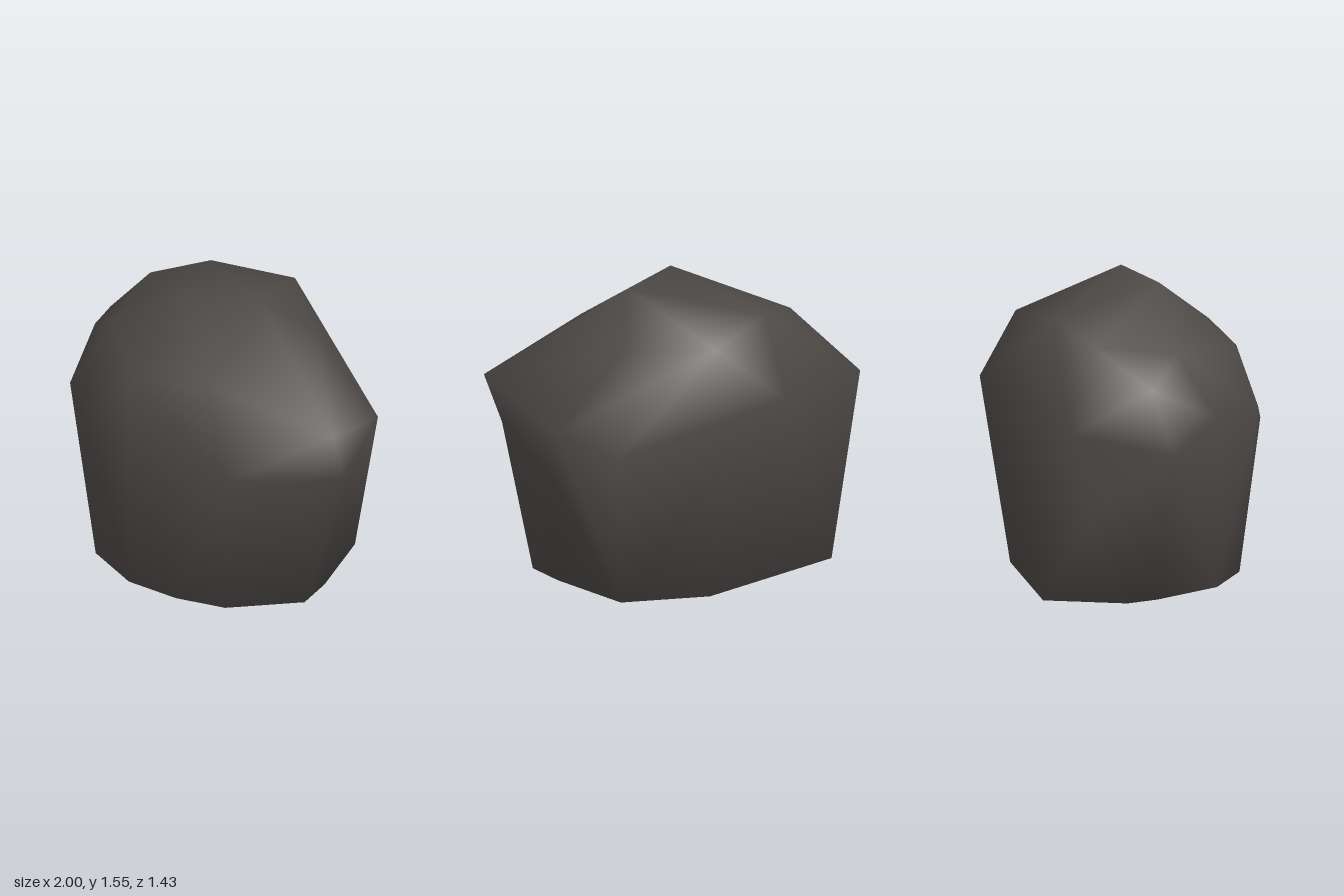
import * as THREE from 'three';
import { ConvexGeometry } from 'three/addons/geometries/ConvexGeometry.js';
import { mergeVertices } from 'three/addons/utils/BufferGeometryUtils.js';

// Corners of the boulder [x, y, z], from the ground up
const base = [
  [0, -0.001, 0], [0.74, 0, -0.06], [0.55, 0, 0.31], [0.32, 0, 0.46], [0.04, 0, 0.56],
  [-0.3, 0, 0.53], [-0.63, 0, 0.3], [-0.75, 0, 0.17], [-0.8, 0, -0.27],
  [-0.07, 0, -0.64], [0.4, 0, -0.62], [0.65, 0, -0.25], [0.495, 0.115, -0.53],
];
const belly = [
  [1, 1.11, -0.06], [0.62, 0.8, 0.35], [0.16, 0.8, 0.64],
  [-0.17, 0.95, 0.715], [-0.47, 0.95, 0.57], [-0.7, 0.79, 0.41],
  [-1, 0.95, -0.06], [-0.46, 1.09, -0.7],
  [-0.15, 0.82, -0.72], [0.44, 0.82, -0.67], [0.72, 0.94, -0.54],
];
const crown = [
  [-0.66, 1.12, 0.28], [-0.42, 1.26, 0.35], [0.05, 1.21, 0.54], [0.4, 1.25, 0.3],
  [0.33, 1.32, -0.4], [-0.63, 1.33, -0.05], [-0.44, 1.41, -0.3], [-0.11, 1.36, -0.6],
  [-0.04, 1.54, 0.15], [0.25, 1.545, -0.13],
];
// Corners under the two side tips, pushed inwards to this x
const dents = [
  { corner: [0.94, 0.81, 0], x: 0.89 },
  { corner: [0.85, 0.64, -0.33], x: 0.71 },
  { corner: [-0.91, 0.49, 0], x: -0.885 },
];

export function createModel() {
  const group = new THREE.Group();
  group.name = 'boulder';

  const stone = new THREE.MeshStandardMaterial({ color: 0x4d4947 });
  stone.name = 'dark stone';

  // Faceted hull with shared corners, so the shading is smooth
  const corners = [...base, ...belly, ...crown, ...dents.map((d) => d.corner)];
  const hull = new ConvexGeometry(corners.map((p) => new THREE.Vector3(...p)));
  hull.deleteAttribute('normal');
  const geometry = mergeVertices(hull, 1e-4);

  // Hollow the flanks slightly
  const position = geometry.attributes.position;
  const vertex = new THREE.Vector3();
  for (const { corner, x } of dents) {
    const target = new THREE.Vector3(...corner);
    for (let i = 0; i < position.count; i++) {
      if (vertex.fromBufferAttribute(position, i).distanceTo(target) < 1e-3) position.setX(i, x);
    }
  }
  geometry.computeVertexNormals();

  const rock = new THREE.Mesh(geometry, stone);
  rock.name = 'rock';
  group.add(rock);
  return group;
}
